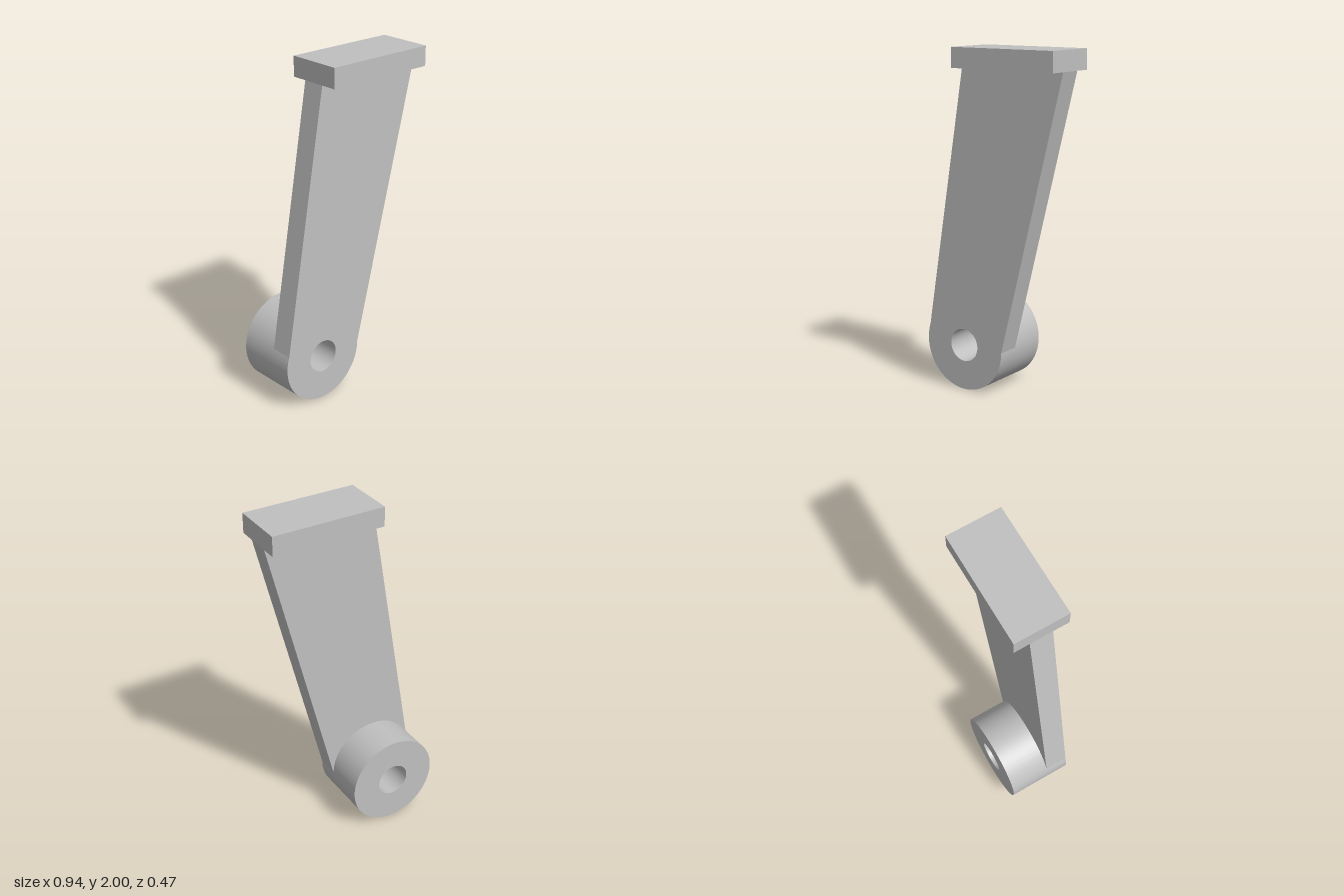
import * as THREE from 'three';
import { toCreasedNormals } from 'three/addons/utils/BufferGeometryUtils.js';

const CX = -0.203, CY = 0.269, R = 0.269, HOLE = 0.097;

export function createModel() {
  const group = new THREE.Group();
  const grey = new THREE.MeshStandardMaterial({ color: 0xc0c0c0 });
  grey.name = 'grey';

  const add = (name, geometry) => {
    const mesh = new THREE.Mesh(geometry, grey);
    mesh.name = name;
    group.add(mesh);
    return mesh;
  };

  // Extrude an outline, bored through at the pivot, between two depths
  const boredPart = (name, shape, z0, z1) => {
    shape.holes.push(new THREE.Path().absarc(CX, CY, HOLE, 0, Math.PI * 2, true));
    const geometry = new THREE.ExtrudeGeometry(shape, {
      depth: z1 - z0, bevelEnabled: false, curveSegments: 80,
    });
    geometry.translate(0, 0, z0);
    add(name, toCreasedNormals(geometry, 0.14));
  };

  // Slanted arm with a rounded lower end
  const arm = new THREE.Shape();
  arm.moveTo(0.472, 1.885);
  arm.lineTo(-0.203, 1.885);
  arm.absarc(CX, CY, R, THREE.MathUtils.degToRad(161.4), Math.PI * 2, false);
  arm.closePath();
  boredPart('arm', arm, 0.005, 0.14);

  // Round pivot boss behind the arm
  const boss = new THREE.Shape().absarc(CX, CY, R, 0, Math.PI * 2, false);
  boredPart('pivotBoss', boss, -0.236, 0.005);

  // Flat mounting plate across the top
  add('topPlate', new THREE.BoxGeometry(0.675, 0.115, 0.324))
    .position.set(0.1345, 1.9425, 0.074);

  return group;
}
